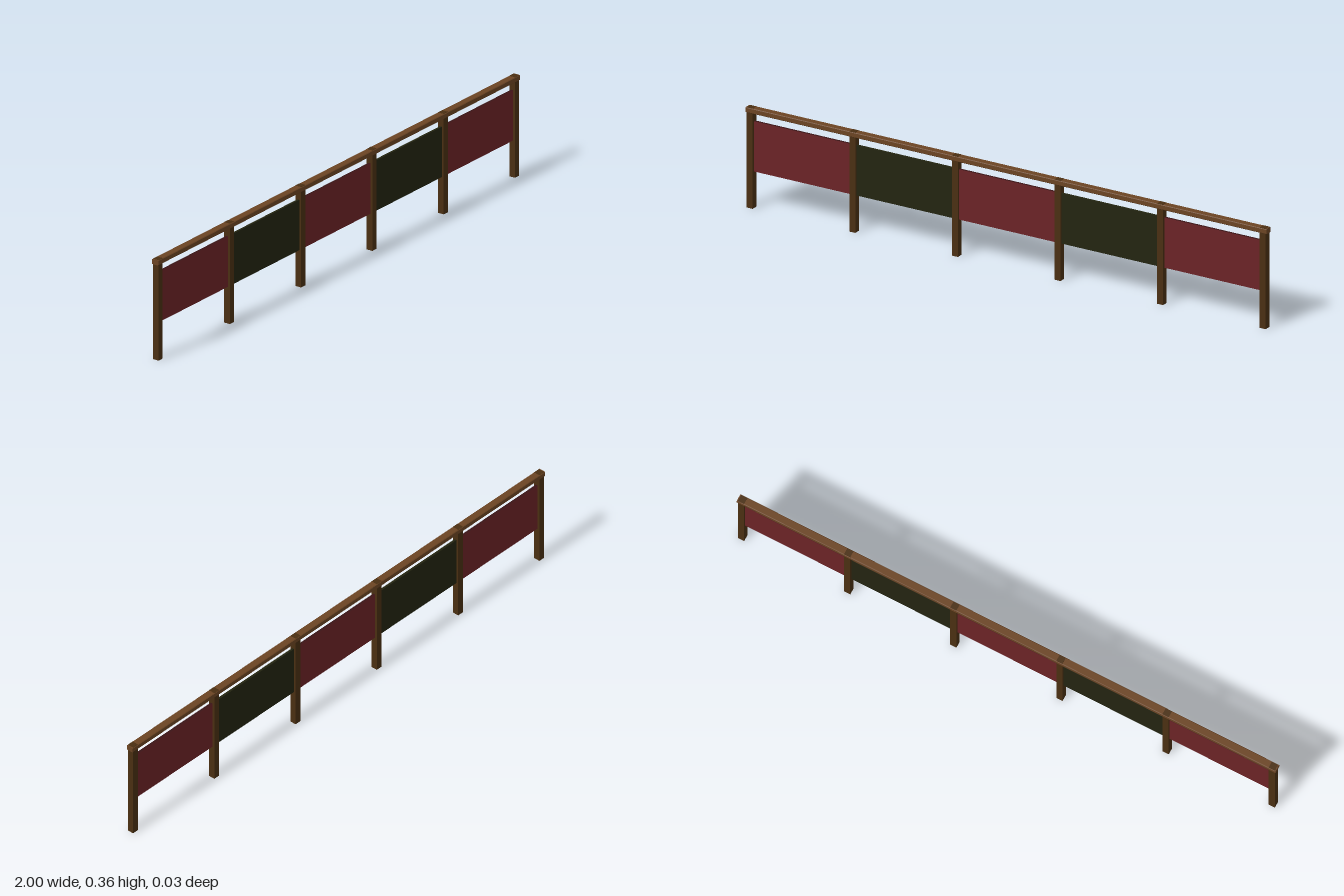
import * as THREE from 'three';

const material = (name, color) => {
  const m = new THREE.MeshStandardMaterial({ color });
  m.name = name;
  return m;
};

export function createModel() {
  const model = new THREE.Group();
  model.name = 'fence';

  const postWood = material('dark brown wood', 0x4a2f12);
  const railWood = material('brown wood', 0x6b4423);
  const red = material('dark red cloth', 0x6b2326);
  const green = material('dark olive cloth', 0x232410);
  const hem = material('dark red hem', 0x3a1416);

  const add = (name, geometry, mat, x, y) => {
    const mesh = new THREE.Mesh(geometry, mat);
    mesh.name = name;
    mesh.position.set(x, y, 0);
    model.add(mesh);
  };

  // Six square posts, their tops just showing through the rail
  const bays = 5, step = 0.394, postHeight = 0.3555;
  const postGeometry = new THREE.BoxGeometry(0.023, postHeight, 0.023);
  for (let i = 0; i <= bays; i++) {
    add('post', postGeometry, postWood, (i - bays / 2) * step, postHeight / 2);
  }

  // Top rail: a long bar with small chamfers along its edges
  const w = 0.0132, h = 0.009, c = 0.002;
  const section = new THREE.Shape([
    [-w + c, -h], [w - c, -h], [w, -h + c], [w, h - c],
    [w - c, h], [-w + c, h], [-w, h - c], [-w, -h + c],
  ].map(([x, y]) => new THREE.Vector2(x, y)));
  const railGeometry = new THREE.ExtrudeGeometry(section, { depth: 2, bevelEnabled: false });
  railGeometry.translate(0, 0, -1).rotateY(Math.PI / 2);
  add('topRail', railGeometry, railWood, 0, 0.346);

  // Cloth panels in alternating colours, with dark top and bottom edges
  const panelGeometry = new THREE.BoxGeometry(step - 0.02, 0.178, 0.008);
  for (let i = 0; i < bays; i++) {
    const cloth = i % 2 ? green : red;
    const edge = i % 2 ? green : hem;
    add('panel', panelGeometry, [cloth, cloth, edge, edge, cloth, cloth],
      (i - (bays - 1) / 2) * step, 0.219);
  }

  return model;
}
